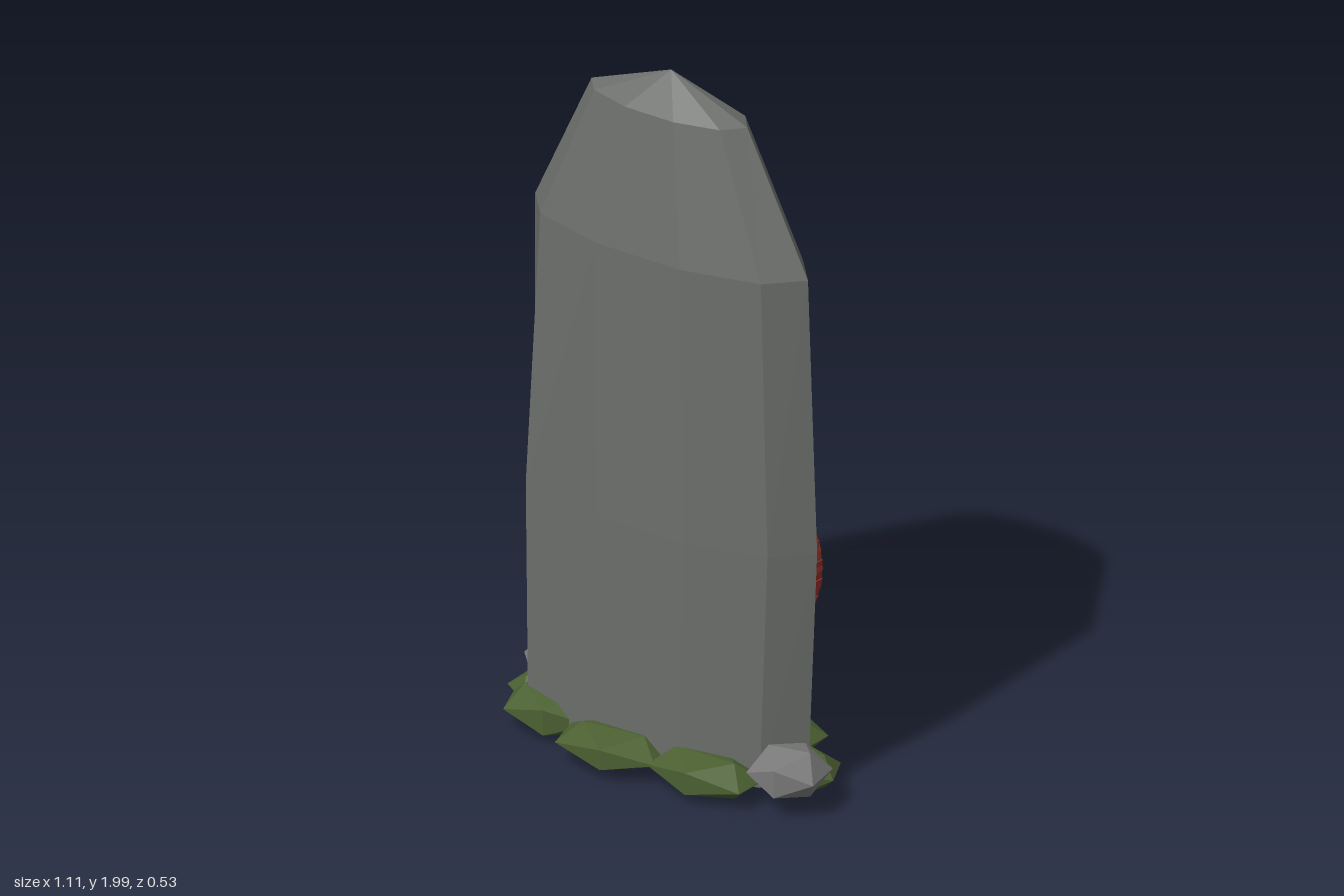
import * as THREE from 'three';

const mat = (name, color) => {
  const m = new THREE.MeshStandardMaterial({ color, flatShading: true });
  m.name = name;
  return m;
};

export function createModel() {
  const group = new THREE.Group();
  const stoneGrey = mat('stone grey', 0x6b6e6a);
  const rockGrey = mat('rock grey', 0x7a7a7a);
  const mossGreen = mat('moss green', 0x4b6032);
  const paintRed = mat('paint red', 0x922f28);
  const carvedBlack = mat('carved black', 0x222624);

  const add = (name, geometry, material, x = 0, y = 0, z = 0, parent = group) => {
    const mesh = new THREE.Mesh(geometry, material);
    mesh.name = name;
    mesh.position.set(x, y, z);
    parent.add(mesh);
    return mesh;
  };

  // Standing stone: ten-sided rings [y, centre x, radius x, radius z]
  const N = 10;
  const rings = [
    [0.04, -0.015, 0.445, 0.17],
    [0.72, -0.005, 0.465, 0.17],
    [1.51, -0.02, 0.45, 0.158],
    [1.9, -0.027, 0.257, 0.095],
  ];
  const bulge = [1, 1, 1, 1, 1.1, 1, 1.1, 1, 1, 1];
  const pos = [];
  const idx = [];
  rings.forEach(([y, cx, rx, rz], k) => {
    for (let i = 0; i < N; i++) {
      const a = (i / N) * Math.PI * 2;
      const s = k < 2 ? bulge[i] : 1;
      pos.push(cx + Math.cos(a) * rx * s, y, -0.017 + Math.sin(a) * rz * s);
    }
  });
  const last = (rings.length - 1) * N;
  const apex = pos.length / 3;
  pos.push(-0.02, 2, -0.015, 0, 0.04, -0.017);
  for (let i = 0; i < N; i++) {
    const j = (i + 1) % N;
    for (let k = 0; k < last; k += N) {
      idx.push(k + i, k + N + i, k + j, k + j, k + N + i, k + N + j);
    }
    idx.push(last + i, apex, last + j, i, j, apex + 1);
  }
  const stone = new THREE.BufferGeometry();
  stone.setAttribute('position', new THREE.Float32BufferAttribute(pos, 3));
  stone.setIndex(idx);
  const flat = stone.toNonIndexed();
  flat.computeVertexNormals();
  add('standingStone', flat, stoneGrey);

  // Winding painted serpent on the back, made of overlapping blocks
  const serpent = new THREE.Group();
  serpent.name = 'paintedSerpent';
  group.add(serpent);
  const pathX = (y) => 0.022 - 0.277 * Math.sin(((y - 0.95) / 1.5) * Math.PI * 2);
  const steps = 32;
  const block = new THREE.BoxGeometry(0.085, 0.085, 0.028);
  for (let i = 0; i <= steps; i++) {
    const y = 0.245 + (i / steps) * 1.445;
    const slope = (pathX(y + 0.01) - pathX(y - 0.01)) / 0.02;
    add('serpentBlock', block, paintRed, pathX(y), y, -0.183, serpent).rotation.z = -Math.atan(slope);
  }
  const head = add('serpentHead', new THREE.ConeGeometry(0.07, 0.12, 4), paintRed, -0.008, 1.77, -0.183, serpent);
  head.scale.z = 0.26;

  // Two rows of slanted tally marks
  for (const y of [0.965, 0.61]) {
    [0.155, 0.04, -0.08, -0.2].forEach((x, i) => {
      const mark = add('tallyMark', new THREE.BoxGeometry(0.035, 0.13, 0.024), carvedBlack, x, y, -0.184);
      mark.rotation.z = i % 2 ? -0.25 : 0.3;
    });
  }

  // Flattened clumps: [x, y, z, radius x, radius y, radius z, turn]
  const clump = (name, material, [x, y, z, rx, ry, rz, turn]) => {
    const g = new THREE.IcosahedronGeometry(1, 0);
    g.rotateY(turn).scale(rx, ry, rz);
    add(name, g, material, x, y, z);
  };
  [
    [-0.35, 0.07, 0.07, 0.15, 0.07, 0.11, 0.3],
    [-0.08, 0.075, 0.16, 0.18, 0.055, 0.12, 0.2],
    [0.21, 0.07, 0.14, 0.18, 0.06, 0.11, 0],
    [0.4, 0.06, -0.04, 0.1, 0.055, 0.11, 0.5],
    [0.22, 0.065, -0.19, 0.13, 0.055, 0.095, 0],
    [-0.08, 0.075, -0.19, 0.15, 0.045, 0.09, 0.2],
    [-0.34, 0.065, -0.11, 0.13, 0.05, 0.1, 0],
    [-0.43, 0.07, -0.01, 0.11, 0.055, 0.09, 0.9],
  ].forEach((c) => clump('mossClump', mossGreen, c));

  // Loose rocks at either end
  clump('leftRock', rockGrey, [0.445, 0.12, 0.085, 0.115, 0.075, 0.115, 0.2]);
  clump('rightRock', rockGrey, [-0.455, 0.115, -0.1, 0.105, 0.065, 0.09, 0.7]);

  return group;
}
